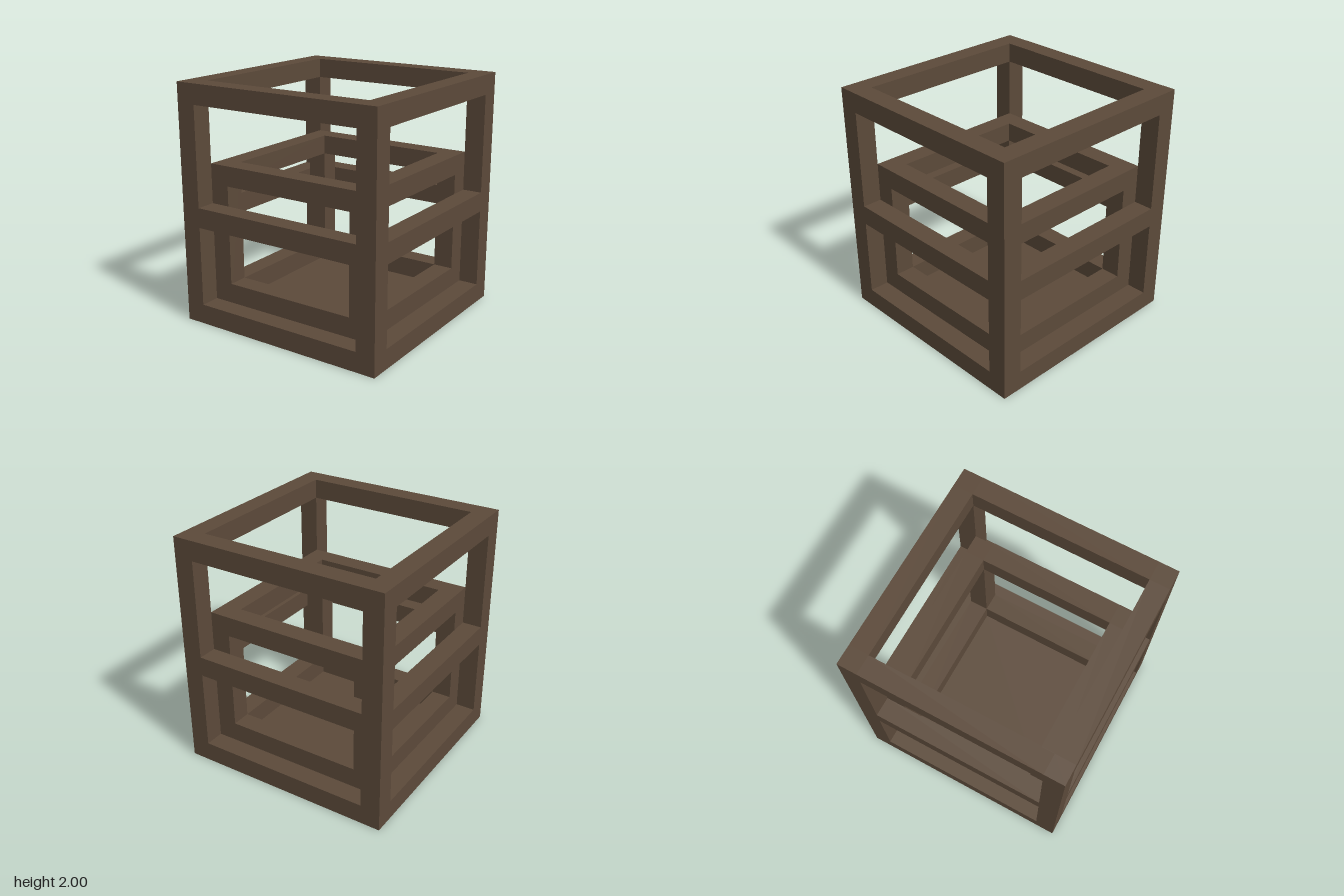
import * as THREE from 'three';

const BAR = 1 / 6; // thickness of every bar

export function createModel() {
  const model = new THREE.Group();
  model.name = 'nestedFrame';
  const wood = new THREE.MeshStandardMaterial({ color: 0x5c4a3a });
  wood.name = 'dark brown';

  // box given by its centre in x and z and its bottom and top heights
  function bar(parent, name, w, d, x, z, y0, y1) {
    const mesh = new THREE.Mesh(new THREE.BoxGeometry(w, y1 - y0, d), wood);
    mesh.name = name;
    mesh.position.set(x, (y0 + y1) / 2, z);
    parent.add(mesh);
  }

  // four corner posts, with rings of rails fitted between them
  function cage(name, half, y0, y1, railHeights) {
    const group = new THREE.Group();
    group.name = name;
    const c = half - BAR / 2;
    const span = 2 * (half - BAR);
    for (const sx of [-1, 1]) {
      for (const sz of [-1, 1]) bar(group, 'post', BAR, BAR, sx * c, sz * c, y0, y1);
    }
    for (const y of railHeights) {
      for (const s of [-1, 1]) {
        bar(group, 'crossRail', span, BAR, 0, s * c, y, y + BAR);
        bar(group, 'sideRail', BAR, span, s * c, 0, y, y + BAR);
      }
    }
    model.add(group);
  }

  const outer = 5.5 * BAR;
  const inner = 4.5 * BAR;

  // solid base slab
  bar(model, 'base', 2 * outer, 2 * outer, 0, 0, 0, BAR);

  // outer cage with middle and top rails
  cage('outerFrame', outer, BAR, 12 * BAR, [5 * BAR, 11 * BAR]);

  // shorter inner cage standing on the base
  cage('innerFrame', inner, BAR, 8 * BAR, [BAR, 7 * BAR]);

  return model;
}
